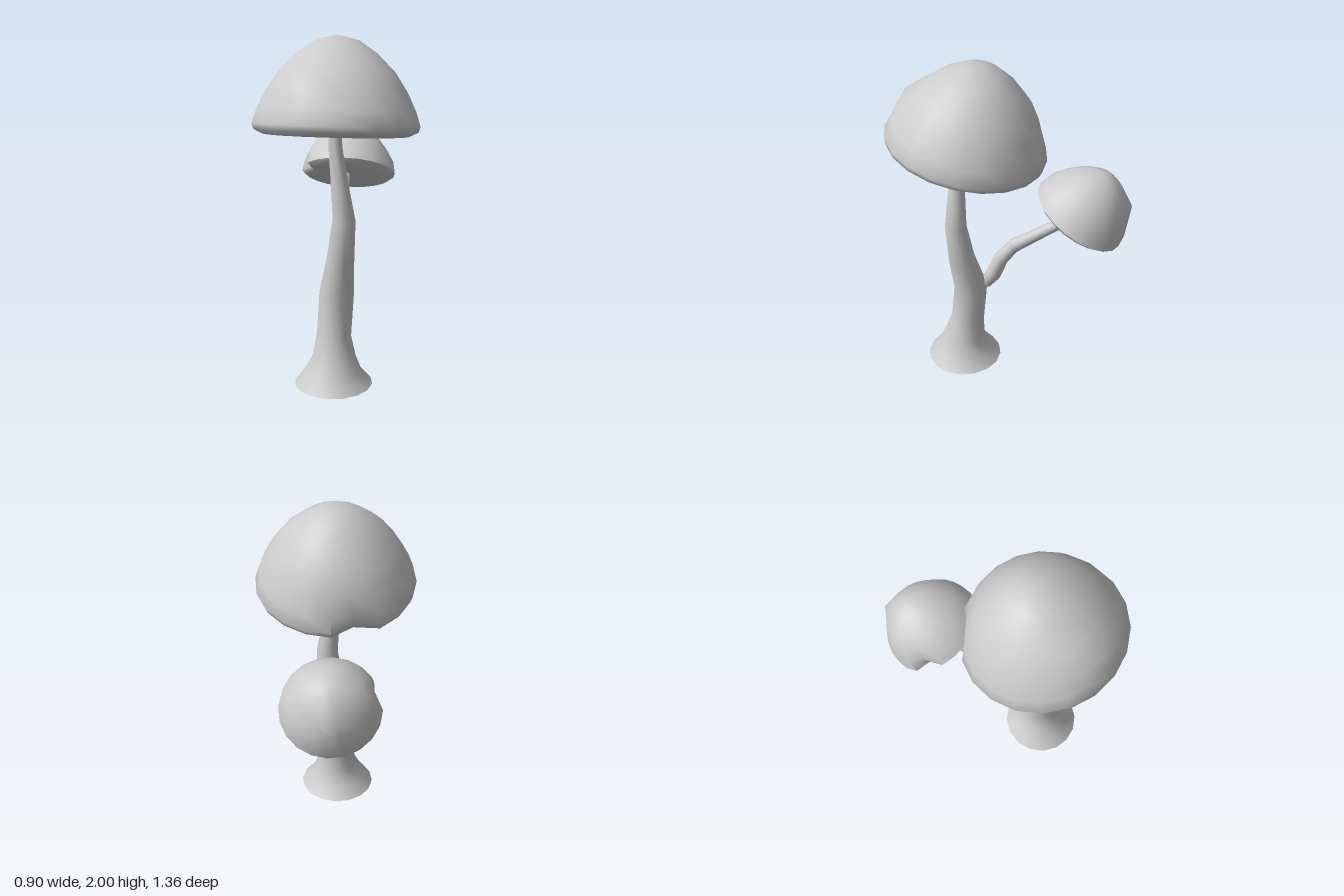
import * as THREE from 'three';
import { mergeVertices, toCreasedNormals } from 'three/addons/utils/BufferGeometryUtils.js';

const material = new THREE.MeshStandardMaterial({ color: 0xcccccc });

// Smooth tapered limb through rows of [x, y, z, radius]
function limb(name, rows, sides) {
  const pts = rows.map(([x, y, z]) => new THREE.Vector3(x, y, z));
  const side = new THREE.Vector3(1, 0, 0);
  const pos = [], idx = [];
  const last = rows.length - 1;
  rows.forEach((row, i) => {
    const a = Math.min(Math.max(i - 1, 0), last - 2);
    const tangent = pts[a + 2].clone().sub(pts[a]).normalize();
    const n = new THREE.Vector3().crossVectors(side, tangent).normalize();
    const u = new THREE.Vector3().crossVectors(tangent, n);
    for (let j = 0; j < sides; j++) {
      const t = (j / sides) * Math.PI * 2;
      const p = pts[i].clone()
        .addScaledVector(u, row[3] * Math.sin(t))
        .addScaledVector(n, row[3] * Math.cos(t));
      pos.push(p.x, p.y, p.z);
      if (i < last) {
        const k = (j + 1) % sides, b = i * sides, c = b + sides;
        idx.push(b + j, b + k, c + j, b + k, c + k, c + j);
      }
    }
  });
  const g = new THREE.BufferGeometry();
  g.setAttribute('position', new THREE.Float32BufferAttribute(pos, 3));
  g.setIndex(idx);
  const mesh = new THREE.Mesh(toCreasedNormals(g, 0.95), material);
  mesh.name = name;
  return mesh;
}

// Tilted cap: lathed dome and underside, with local dents and bumps.
// Each nudge is [angle in degrees from the front, height, push, angular width, height spread]
function cap(name, profile, ragged, nudges, position, tilt) {
  const sides = 20;
  let g = new THREE.LatheGeometry(profile.map(([r, y]) => new THREE.Vector2(r, y)), sides);
  const p = g.attributes.position;
  for (let i = 0; i < p.count; i++) {
    const x = p.getX(i), y = p.getY(i), z = p.getZ(i);
    const r = Math.hypot(x, z);
    if (r < 1e-4) continue;
    const column = Math.floor(i / profile.length) % sides;
    const angle = column * 360 / sides;
    let push = 0;
    // ragged inner edge of the rolled lip
    if (i % profile.length === 2) push += column % 2 ? ragged : -ragged;
    for (const [at, h, amount, width, spread] of nudges) {
      const d = Math.abs(((angle - at + 540) % 360) - 180);
      push += amount * Math.exp(-((d / width) ** 2) - ((y - h) / spread) ** 2);
    }
    const k = (r + push) / r;
    p.setXYZ(i, x * k, y, z * k);
  }
  g.deleteAttribute('uv');
  g.deleteAttribute('normal');
  g = toCreasedNormals(mergeVertices(g, 1e-4), 0.95);
  const mesh = new THREE.Mesh(g, material);
  mesh.name = name;
  mesh.position.set(...position);
  mesh.rotation.x = -tilt;
  return mesh;
}

export function createModel() {
  const group = new THREE.Group();
  group.name = 'mushrooms';

  // Main stalk with flared foot
  group.add(limb('mainStalk', [
    [-0.01, 0, 0.28, 0.001],
    [-0.01, 0, 0.28, 0.12],
    [-0.01, 0.05, 0.28, 0.22],
    [-0.01, 0.125, 0.28, 0.16],
    [-0.005, 0.21, 0.275, 0.122],
    [-0.01, 0.33, 0.255, 0.097],
    [0.002, 0.57, 0.232, 0.097],
    [0.03, 0.79, 0.277, 0.076],
    [0.053, 1.02, 0.302, 0.062],
    [0.028, 1.22, 0.295, 0.048],
    [0.006, 1.4, 0.285, 0.038],
    [0, 1.54, 0.28, 0.033],
    [0, 1.545, 0.28, 0.001],
  ], 16));

  // Side stalk branching off the back
  group.add(limb('sideStalk', [
    [-0.015, 0.565, 0.165, 0.001],
    [-0.015, 0.585, 0.145, 0.034],
    [-0.02, 0.65, 0.1, 0.046],
    [-0.025, 0.76, 0.055, 0.045],
    [-0.025, 0.855, -0.02, 0.041],
    [-0.022, 0.96, -0.18, 0.034],
    [-0.02, 1.03, -0.29, 0.029],
    [-0.02, 1.11, -0.385, 0.027],
    [-0.02, 1.115, -0.39, 0.001],
  ], 10));

  // Large cap with a rolled lip, dented at the back and bulging at the front
  group.add(cap('mainCap', [
    [0, 0.02], [0.265, 0.0], [0.305, -0.03], [0.39, -0.035], [0.44, -0.01], [0.45, 0.02],
    [0.424, 0.1], [0.376, 0.2], [0.31, 0.3], [0.21, 0.4], [0.11, 0.467], [0, 0.492],
  ], 0.02, [[198, 0, -0.07, 9, 0.12], [334, 0.215, 0.04, 18, 0.06]],
  [0, 1.515, 0.24], 0.2));

  // Small cap, dented on one side with a bump at the back
  group.add(cap('smallCap', [
    [0, -0.015], [0.12, -0.018], [0.2, -0.022], [0.255, -0.018], [0.28, 0.002],
    [0.266, 0.075], [0.222, 0.15], [0.17, 0.218], [0.11, 0.268], [0.05, 0.297], [0, 0.305],
  ], 0, [[288, 0, -0.055, 9, 0.08], [180, 0.21, 0.035, 15, 0.06], [262, 0.2, 0.025, 22, 0.07]],
  [-0.01, 1.1, -0.39], 0.565));

  return group;
}
